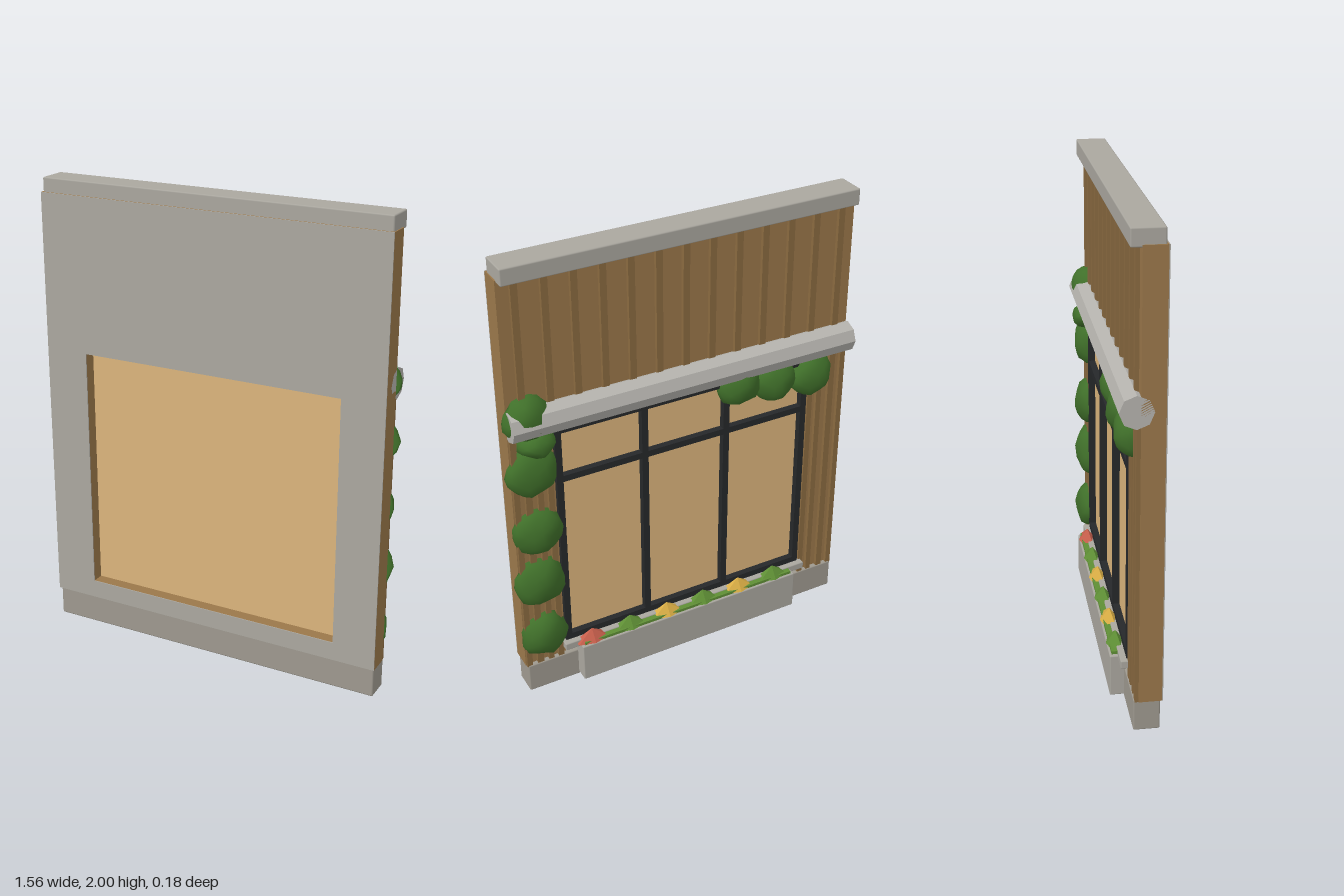
import * as THREE from 'three';
import { mergeVertices } from 'three/addons/utils/BufferGeometryUtils.js';
import { RoundedBoxGeometry } from 'three/addons/geometries/RoundedBoxGeometry.js';

const mat = (color, extra = {}) => {
  const m = new THREE.MeshStandardMaterial(extra);
  m.color.set(color);
  return m;
};
const MAT = {
  stone: mat(0xaaa79f), base: mat(0x9e998f), plaster: mat(0xaba8a0),
  wood: mat(0x9a774a), batten: mat(0x8a6a40), pane: mat(0xdcb57c), frame: mat(0x26282a),
  roll: mat(0xb4b2ad, { flatShading: true }), leaf: mat(0x40702a),
  green: mat(0x5f8f35, { flatShading: true }), yellow: mat(0xd9ad45, { flatShading: true }),
  red: mat(0xc75f4c, { flatShading: true }),
};

// Wall and window extents
const WALL = { x0: -0.78, x1: 0.755, y0: 0.13, y1: 1.94 };
const WIN = { x0: -0.59, x1: 0.57, y0: 0.21, y1: 1.275 };

export function createModel() {
  const group = new THREE.Group();
  const add = (name, geo, material, parent = group) => {
    const mesh = new THREE.Mesh(geo, material);
    mesh.name = name;
    parent.add(mesh);
    return mesh;
  };
  const sub = (name) => {
    const g = new THREE.Group();
    g.name = name;
    group.add(g);
    return g;
  };
  // Box given by its limits, optionally with softened edges
  const box = (name, x0, x1, y0, y1, z0, z1, material, parent, r = 0) => {
    const s = [x1 - x0, y1 - y0, z1 - z0];
    const geo = r ? new RoundedBoxGeometry(...s, 1, r) : new THREE.BoxGeometry(...s);
    add(name, geo, material, parent).position.set((x0 + x1) / 2, (y0 + y1) / 2, (z0 + z1) / 2);
  };

  // Wall slab and front plaster, both with the window opening
  const slab = (depth) => {
    const rect = (path, r) => path.moveTo(r.x0, r.y0).lineTo(r.x1, r.y0)
      .lineTo(r.x1, r.y1).lineTo(r.x0, r.y1).closePath();
    const shape = rect(new THREE.Shape(), WALL);
    shape.holes.push(rect(new THREE.Path(), WIN));
    return new THREE.ExtrudeGeometry(shape, { depth, bevelEnabled: false });
  };
  add('timberWall', slab(0.091), MAT.wood).position.z = -0.005;
  add('frontPlaster', slab(0.004), MAT.plaster).position.z = 0.086;

  // Coping and plinth
  box('coping', -0.775, 0.75, 1.93, 2, -0.047, 0.08, MAT.stone, group, 0.006);
  box('plinth', -0.775, 0.75, 0, 0.137, -0.025, 0.08, MAT.base, group, 0.006);

  // Vertical battens, cut short above the window
  const battens = sub('battens');
  for (let i = 0; i < 13; i++) {
    const x = -0.714 + i * 0.117;
    const overWindow = x > WIN.x0 - 0.01 && x < WIN.x1 + 0.01;
    box('batten', x - 0.014, x + 0.014, overWindow ? WIN.y1 : WALL.y0, 1.935, -0.021, -0.004, MAT.batten, battens);
  }
  for (const x of [-0.765, -0.655, -0.61, 0.595, 0.64, 0.74]) {
    box('sideBatten', x - 0.012, x + 0.012, WALL.y0, WIN.y1 + 0.05, -0.021, -0.004, MAT.batten, battens);
  }

  // Window: pane, outer frame, mullions and transom
  const win = sub('window');
  box('pane', WIN.x0, WIN.x1, WIN.y0, WIN.y1, 0.004, 0.035, MAT.pane, win);
  const t = 0.028;
  const bar = (name, x0, x1, y0, y1) => box(name, x0, x1, y0, y1, -0.024, 0.01, MAT.frame, win);
  for (let i = 0; i < 4; i++) {
    const x = WIN.x0 + i * (WIN.x1 - WIN.x0 - t) / 3;
    bar(i % 3 ? 'mullion' : 'stile', x, x + t, WIN.y0, WIN.y1);
  }
  for (const y of [WIN.y0, 1.02, WIN.y1 - t]) bar('rail', WIN.x0, WIN.x1, y, y + t);

  // Octagonal shutter roll over the window
  const roll = new THREE.CylinderGeometry(0.065, 0.065, 1.535, 8);
  roll.rotateZ(Math.PI / 2);
  add('shutterRoll', roll, MAT.roll).position.set(-0.0125, 1.335, -0.02);

  // Sill and planter box
  box('sill', -0.61, 0.585, 0.175, 0.21, -0.05, 0, MAT.stone, group, 0.005);
  box('planter', -0.54, 0.52, 0.01, 0.192, -0.083, -0.01, MAT.stone, group, 0.005);
  box('planting', -0.525, 0.505, 0.18, 0.205, -0.074, -0.015, MAT.green);

  // Low faceted flower tufts
  const flowers = sub('flowers');
  ['red', 'green', 'yellow', 'green', 'yellow', 'green'].forEach((c, i) => {
    const tuft = add('flower', new THREE.ConeGeometry(0.082, 0.055, 6), MAT[c], flowers);
    tuft.position.set(0.46 - i * 0.18, 0.222, -0.046);
    tuft.scale.z = 0.48;
    tuft.rotation.y = i % 2 ? 0 : Math.PI;
  });

  // Leaf clump: a lumpy half dome with a flattened back and underside
  const clump = (parent, seed, x, y, rx, ry, depth) => {
    let geo = new THREE.IcosahedronGeometry(1, 2);
    geo.deleteAttribute('normal');
    geo.deleteAttribute('uv');
    geo = mergeVertices(geo, 1e-3);
    const p = geo.attributes.position;
    const v = new THREE.Vector3();
    for (let i = 0; i < p.count; i++) {
      v.fromBufferAttribute(p, i);
      v.multiplyScalar(1 + 0.08 * Math.sin(v.x * 5 + seed * 2.1) * Math.cos(v.y * 4 - seed));
      p.setXYZ(i, v.x * rx, Math.max(v.y, -0.8) * ry, Math.min(v.z, 0) * depth);
    }
    geo.computeVertexNormals();
    add('leafClump', geo, MAT.leaf, parent).position.set(x, y, -0.005);
  };
  const climber = sub('climbingPlant');
  [[0.665, 0.28, 0.105, 0.11], [0.665, 0.56, 0.112, 0.12], [0.66, 0.81, 0.11, 0.11],
    [0.665, 1.1, 0.11, 0.115], [0.645, 1.23, 0.08, 0.06], [0.675, 1.35, 0.1, 0.1]]
    .forEach(([x, y, rx, ry], i) => clump(climber, i, x, y, rx, ry, i < 4 ? 0.068 : 0.078));
  const hanging = sub('hangingPlant');
  [[-0.26, 1.24], [-0.43, 1.21], [-0.61, 1.19]]
    .forEach(([x, y], i) => clump(hanging, i + 7, x, y, 0.1, 0.1, 0.076));

  return group;
}
